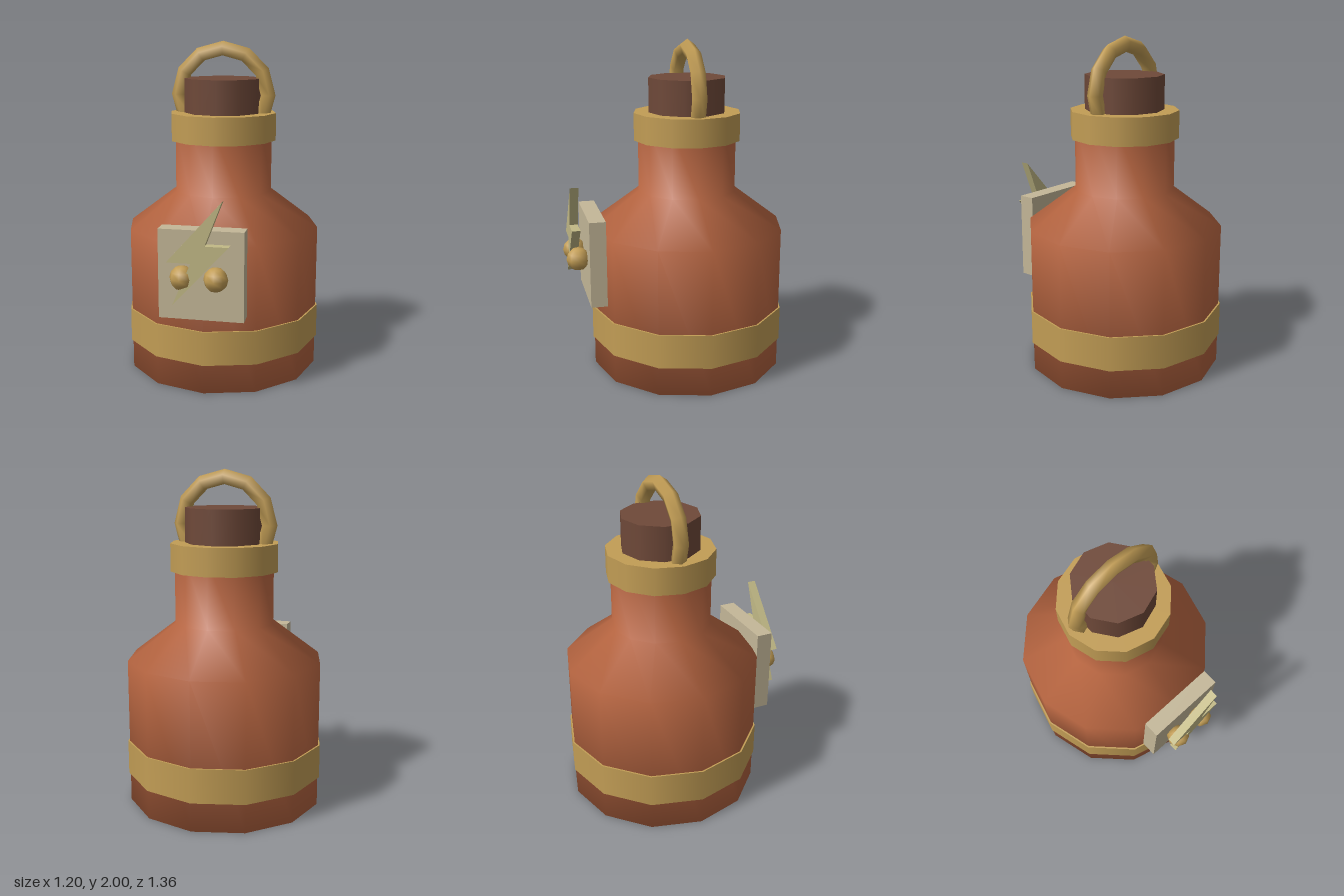
import * as THREE from 'three';

const mat = (name, color) => {
  const m = new THREE.MeshStandardMaterial({ color });
  m.name = name;
  return m;
};

export function createModel() {
  const clay = mat('clay', 0xba6742);
  const brass = mat('brass', 0xc29d55);
  const cork = mat('cork', 0x6f4939);
  const plate = mat('pale plate', 0xc4b798);
  const spark = mat('pale yellow', 0xc2b986);

  const model = new THREE.Group();
  model.name = 'bottle';
  const add = (name, geometry, material, x, y, z, parent = model) => {
    const mesh = new THREE.Mesh(geometry, material);
    mesh.name = name;
    mesh.position.set(x, y, z);
    parent.add(mesh);
    return mesh;
  };

  // Everything turned shares one axis, set slightly back
  const vessel = new THREE.Group();
  vessel.name = 'vessel';
  vessel.position.z = -0.08;
  model.add(vessel);

  // Body with closed base, sloping shoulder and neck
  const profile = [[0, 0], [0.59, 0], [0.59, 0.88], [0.3, 1.1], [0.3, 1.5]]
    .map(([r, y]) => new THREE.Vector2(r, y));
  add('body', new THREE.LatheGeometry(profile, 12), clay, 0, 0, 0, vessel);

  // Rings and stopper
  const drum = (name, r, y0, y1, sides, material) =>
    add(name, new THREE.CylinderGeometry(r, r, y1 - y0, sides), material, 0, (y0 + y1) / 2, 0, vessel);
  drum('lowerBand', 0.6, 0.175, 0.38, 12, brass);
  drum('collar', 0.325, 1.41, 1.575, 12, brass);
  drum('stopper', 0.235, 1.5, 1.78, 10, cork);

  // Carrying loop, its ends sunk into the collar
  const loop = new THREE.TorusGeometry(0.273, 0.047, 5, 8, Math.PI * 4 / 3);
  loop.rotateZ(-Math.PI / 6);
  add('handle', loop, brass, 0, 1.68, 0, vessel);

  // Front plate with two round studs
  add('frontPlate', new THREE.BoxGeometry(0.49, 0.52, 0.098), plate, 0, 0.73, 0.51);
  for (const side of [-1, 1]) {
    add(side > 0 ? 'leftStud' : 'rightStud', new THREE.SphereGeometry(0.07, 8, 6), brass, side * 0.096, 0.73, 0.61);
  }

  // Zigzag bolt in front of the plate
  const zigzag = new THREE.Shape([
    [0.138, 1.175], [-0.175, 0.825], [-0.037, 0.825],
    [-0.143, 0.58], [0.175, 0.926], [0.042, 0.926],
  ].map(([x, y]) => new THREE.Vector2(x, y)));
  add('zigzag', new THREE.ExtrudeGeometry(zigzag, { depth: 0.05, bevelEnabled: false }), spark, 0, 0, 0.6);

  return model;
}
